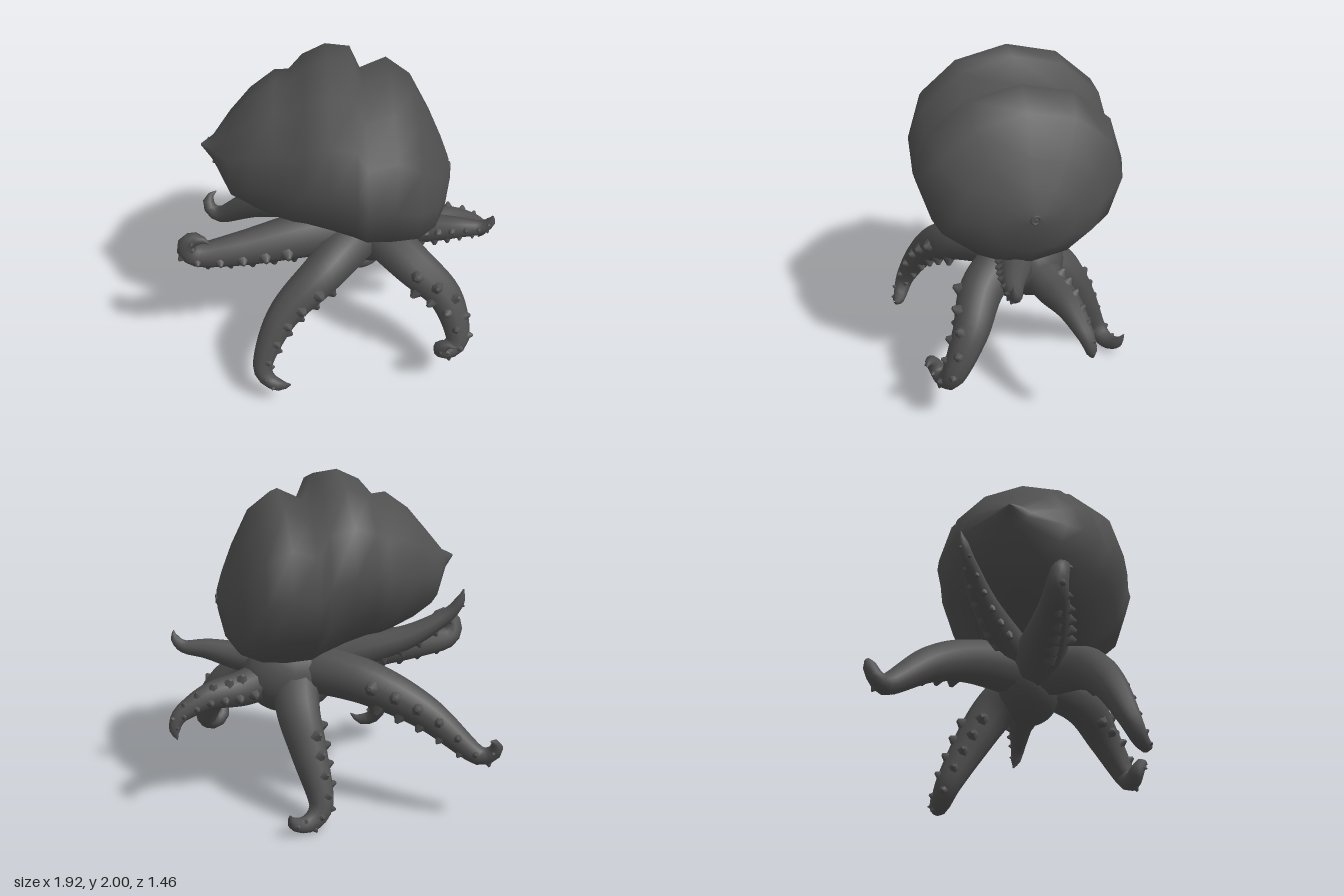
import * as THREE from 'three';

const skin = new THREE.MeshStandardMaterial({ color: 0x505050 });
skin.name = 'charcoal skin';

const UP = new THREE.Vector3(0, 1, 0);
const ROLL = new THREE.Vector3(0, 0, 1);

// Skin a list of closed rings (arrays of Vector3) with smooth sides
function loft(rings) {
  const n = rings[0].length, index = [];
  for (let i = 0; i < rings.length - 1; i++) {
    for (let j = 0; j < n; j++) {
      const a = i * n + j, b = i * n + (j + 1) % n, c = a + n, d = b + n;
      index.push(a, b, c, b, d, c);
    }
  }
  const g = new THREE.BufferGeometry().setFromPoints(rings.flat());
  g.setIndex(index);
  g.computeVertexNormals();
  return g;
}

// Ring of points around a centre, spanned by two half axes
function ringAround(centre, u, v, sides) {
  return Array.from({ length: sides }, (_, j) => {
    const a = (j / sides) * Math.PI * 2;
    return centre.clone().addScaledVector(u, Math.cos(a)).addScaledVector(v, Math.sin(a));
  });
}

function add(group, name, geometry) {
  const mesh = new THREE.Mesh(geometry, skin);
  mesh.name = name;
  group.add(mesh);
  return mesh;
}

// Folded mantle: each ring is x, top y, bottom y, half width
function mantle() {
  const rings = [
    [-0.79, 1.465, 1.455, 0.004], [-0.72, 1.50, 1.38, 0.10], [-0.62, 1.62, 1.18, 0.30],
    [-0.50, 1.76, 1.10, 0.38], [-0.36, 1.86, 1.04, 0.46], [-0.28, 1.85, 1.02, 0.50],
    [-0.20, 1.94, 1.01, 0.54], [-0.07, 2.00, 0.97, 0.58], [0.07, 1.98, 0.91, 0.59],
    [0.13, 1.83, 0.885, 0.59], [0.28, 1.90, 0.87, 0.595], [0.42, 1.79, 0.885, 0.555],
    [0.53, 1.58, 0.93, 0.41], [0.60, 1.42, 1.03, 0.24], [0.635, 1.32, 1.18, 0.11],
    [0.645, 1.262, 1.258, 0.003],
  ];
  return loft(rings.map(([x, top, bottom, w]) => ringAround(
    new THREE.Vector3(x, (top + bottom) / 2, 0.025),
    new THREE.Vector3(0, (top - bottom) / 2, 0), new THREE.Vector3(0, 0, w), 12)));
}

// Arm through the given points, then a curled tip that turns by a total angle
function tentacle(name, r, face, points, curl, step) {
  const group = new THREE.Group();
  group.name = name;
  const path = [new THREE.Vector3(0.18, 0.84, 0), ...points.map(p => new THREE.Vector3(...p))];
  const heading = path[3].clone().sub(path[2]).normalize();
  for (let k = 0; k < 6; k++) {
    heading.applyAxisAngle(ROLL, curl / 6);
    path.push(path.at(-1).clone().addScaledVector(heading, step));
  }
  const curve = new THREE.CatmullRomCurve3(path);
  const segments = 32;
  const { normals, binormals } = curve.computeFrenetFrames(segments, false);
  const radius = t => Math.max(0.003, r * (1 - 0.84 * Math.pow(t, 1.6)) * Math.min(1, (1 - t) * 20));
  const rings = normals.map((normal, i) => {
    const t = i / segments, s = radius(t);
    return ringAround(curve.getPointAt(t), normal.clone().multiplyScalar(s),
      binormals[i].clone().multiplyScalar(s), 10);
  });
  add(group, 'arm', loft(rings));

  // Two staggered rows of pointed suckers, shrinking towards the tip
  for (let k = 0; k < 13; k++) {
    const t = 0.36 + 0.56 * (k / 12), tangent = curve.getTangentAt(t);
    const out = new THREE.Vector3(...face).projectOnPlane(tangent).normalize()
      .applyAxisAngle(tangent, k % 2 ? 0.6 : -0.6);
    const size = radius(t) * 0.38;
    const sucker = add(group, 'sucker', new THREE.CylinderGeometry(size * 0.25, size, size * 1.1, 6));
    sucker.position.copy(curve.getPointAt(t)).addScaledVector(out, radius(t) + size * 0.2);
    sucker.quaternion.setFromUnitVectors(UP, out);
  }
  return group;
}

export function createModel() {
  const model = new THREE.Group();
  model.name = 'tentacledCreature';
  add(model, 'mantle', mantle());

  // Small ringed opening on the blunt end
  const opening = add(model, 'opening', new THREE.TorusGeometry(0.024, 0.008, 6, 12));
  opening.rotation.y = Math.PI / 2;
  opening.position.set(0.642, 1.26, 0.03);

  // Hub where the arms meet
  const hub = add(model, 'hub', new THREE.SphereGeometry(1, 16, 12));
  hub.scale.set(0.29, 0.24, 0.21);
  hub.position.set(0.22, 0.79, -0.03);

  // Arms on the model's right
  model.add(
    tentacle('rightRaisedTentacle', 0.16, [0, -0.8, 0.8],
      [[-0.25, 0.86, 0.14], [-0.6, 0.845, 0.23], [-0.85, 0.85, 0.28]], -3.7, 0.05),
    tentacle('rightBackTentacle', 0.155, [0.1, -0.5, -1],
      [[-0.2, 0.79, -0.29], [-0.5, 0.65, -0.47], [-0.77, 0.43, -0.63]], -3.4, 0.04),
    tentacle('rightUpturnedTentacle', 0.12, [0, -1, 0.2],
      [[-0.2, 0.94, -0.11], [-0.48, 1.03, -0.18], [-0.68, 1.15, -0.22]], -0.9, 0.034),
    tentacle('rightFrontTentacle', 0.15, [0.7, -0.4, 0.6],
      [[-0.1, 0.75, 0.34], [-0.36, 0.54, 0.5], [-0.485, 0.27, 0.62]], 2.7, 0.045));

  // Back arm and arms on the model's left
  model.add(
    tentacle('backTentacle', 0.145, [-1, 0.1, -0.5],
      [[0.21, 0.64, -0.23], [0.17, 0.42, -0.36], [0.12, 0.145, -0.49]], 3.1, 0.058),
    tentacle('leftFrontTentacle', 0.15, [0.4, -0.5, 0.8],
      [[0.42, 0.73, 0.28], [0.62, 0.56, 0.4], [0.69, 0.335, 0.52]], -5, 0.052),
    tentacle('leftBackTentacle', 0.13, [0.2, 0.3, -1],
      [[0.5, 0.74, -0.09], [0.72, 0.72, -0.15], [0.875, 0.65, -0.19]], -1.5, 0.03),
    tentacle('leftRaisedTentacle', 0.115, [0.1, -0.3, 1],
      [[0.5, 0.87, 0.11], [0.7, 0.91, 0.17], [0.82, 0.92, 0.19]], 1.5, 0.024));
  return model;
}
